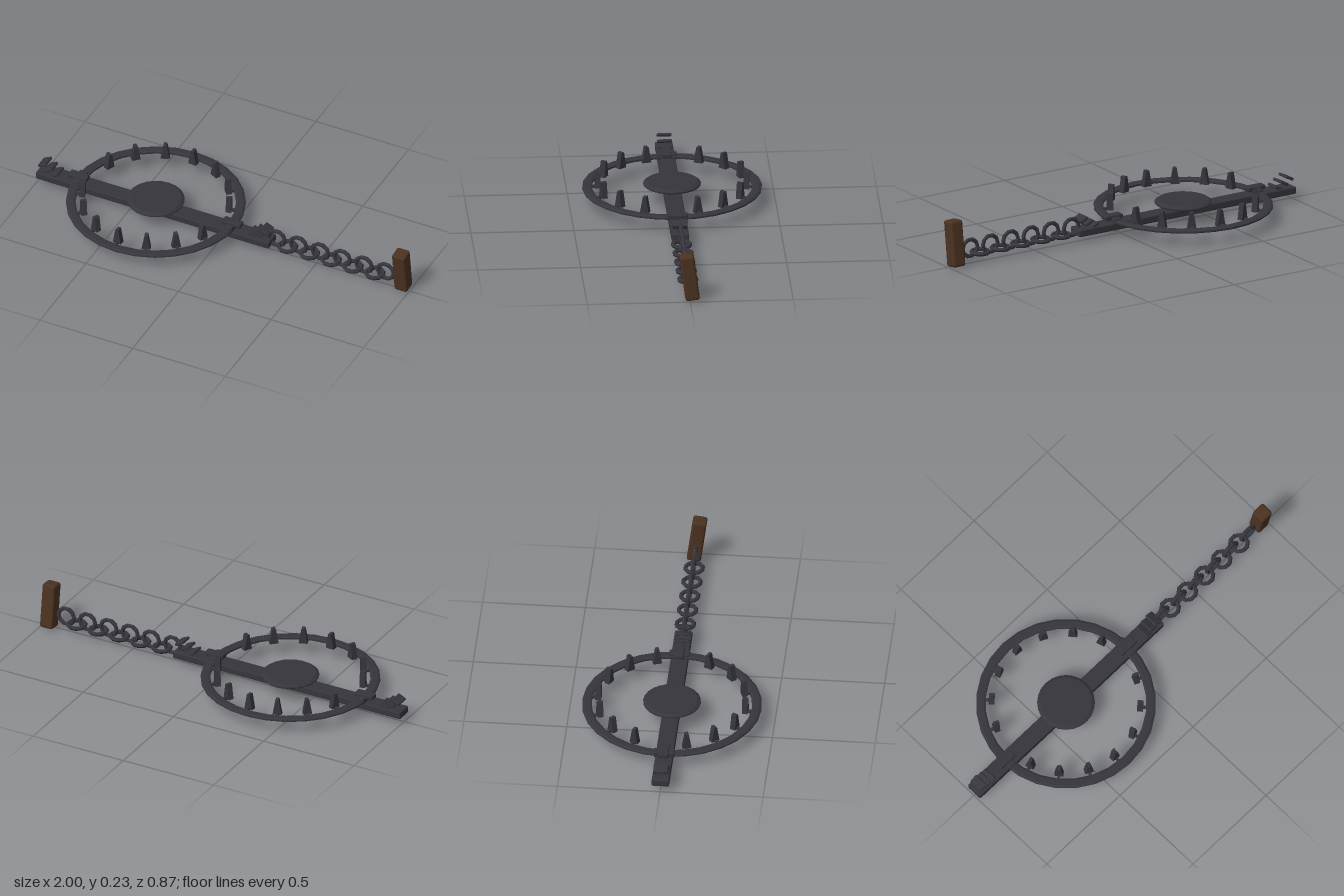
import * as THREE from 'three';
import { RoundedBoxGeometry } from 'three/addons/geometries/RoundedBoxGeometry.js';

const CX = -0.37; // centre of the trap along x

export function createModel() {
  const root = new THREE.Group();
  root.name = 'jawTrap';
  const iron = new THREE.MeshStandardMaterial({ color: 0x36353c, flatShading: true });
  iron.name = 'dark iron';
  const wood = new THREE.MeshStandardMaterial({ color: 0x4b3221, flatShading: true });
  wood.name = 'brown wood';

  const add = (name, geometry, x, y, z, parent = root, material = iron) => {
    const mesh = new THREE.Mesh(geometry, material);
    mesh.name = name;
    mesh.position.set(x, y, z);
    parent.add(mesh);
    return mesh;
  };
  const lathe = (points, sides) =>
    new THREE.LatheGeometry(points.map(([r, y]) => new THREE.Vector2(r, y)), sides);

  // Base bar running under the whole trap
  add('baseBar', new RoundedBoxGeometry(1.26, 0.037, 0.085, 1, 0.006), CX, 0.052, 0);

  // Jaw ring: flat band with chamfered edges
  add('jawRing', lathe([
    [0.389, 0.072], [0.398, 0.068], [0.428, 0.068], [0.436, 0.073],
    [0.436, 0.08], [0.426, 0.086], [0.4, 0.086], [0.389, 0.081], [0.389, 0.072],
  ], 28), CX, 0, 0);

  // Teeth: wedges that taper along the ring, seven on each jaw
  const wedge = new THREE.Shape([
    new THREE.Vector2(-0.022, 0), new THREE.Vector2(0.022, 0),
    new THREE.Vector2(0.008, 0.08), new THREE.Vector2(-0.008, 0.08),
  ]);
  const toothGeo = new THREE.ExtrudeGeometry(wedge, { depth: 0.028, bevelEnabled: false });
  const stemGeo = new THREE.BoxGeometry(0.014, 0.012, 0.04);
  for (let jaw = 0; jaw < 2; jaw++) {
    for (let i = 0; i < 7; i++) {
      const tooth = new THREE.Group();
      tooth.name = 'tooth';
      tooth.position.x = CX;
      tooth.rotation.y = THREE.MathUtils.degToRad(106.6 + 23.1 * i + 180 * jaw);
      add('toothWedge', toothGeo, 0, 0.075, 0.346, tooth);
      add('toothStem', stemGeo, 0, 0.078, 0.385, tooth);
      root.add(tooth);
    }
  }

  // Pressure plate on a short post
  add('pressurePlate', lathe([
    [0, 0.088], [0.135, 0.088], [0.14, 0.092], [0.14, 0.098], [0.125, 0.108], [0, 0.108],
  ], 24), CX, 0, 0);
  add('platePost', new THREE.CylinderGeometry(0.035, 0.035, 0.03, 10), CX, 0.077, 0);

  // Hinges and leaf springs, mirrored about the trap centre
  const hingeGeo = new RoundedBoxGeometry(0.1, 0.022, 0.045, 1, 0.005);
  const pinGeo = new RoundedBoxGeometry(0.042, 0.03, 0.1, 1, 0.005);
  const leafGeo = new RoundedBoxGeometry(0.046, 0.014, 0.072, 1, 0.004);
  for (const side of [-1, 1]) {
    add('hinge', hingeGeo, CX + side * 0.415, 0.094, 0);
    add('hingePin', pinGeo, CX + side * 0.412, 0.08, 0);
    for (let i = 0; i < 3; i++) {
      const leaf = add('springLeaf', leafGeo, CX + side * (0.535 + 0.032 * i), 0.076 + 0.02 * i, 0);
      leaf.rotation.z = -side * 0.45;
    }
  }

  // Chain: upright links alternating with flat ones
  const linkGeo = new THREE.TorusGeometry(0.043, 0.0105, 6, 10);
  for (let i = 0; i < 11; i++) {
    const flat = i % 2 === 1;
    const link = add('chainLink', linkGeo, 0.283 + 0.0589 * i, flat ? 0.05 : 0.08, 0);
    if (flat) link.rotation.x = Math.PI / 2;
  }

  // Leaning wooden stake
  const stake = add('stake', new RoundedBoxGeometry(0.07, 0.23, 0.07, 2, 0.012),
    0.961, 0.12, 0.001, root, wood);
  stake.rotation.x = 0.13;

  return root;
}
